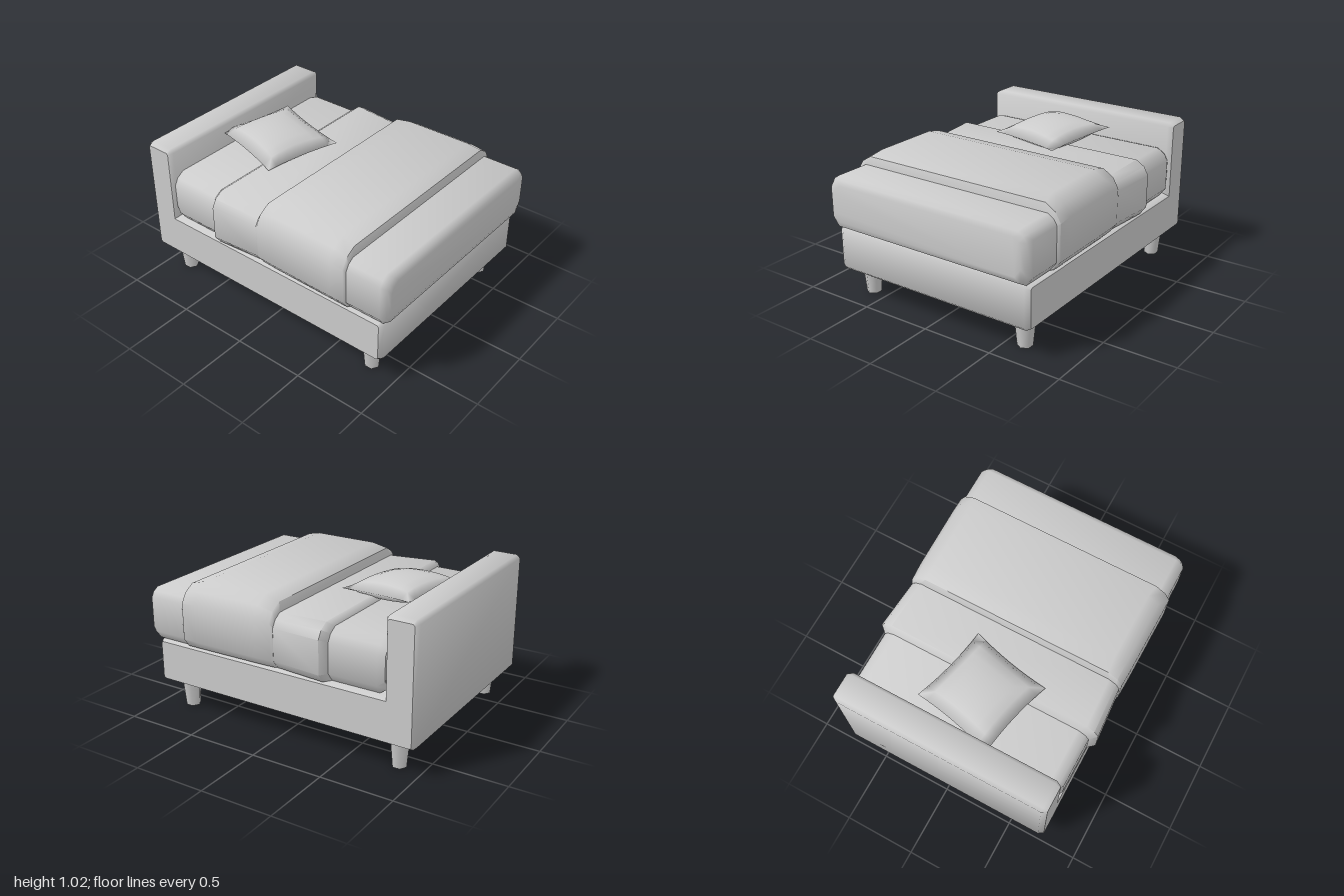
import * as THREE from 'three';
import { mergeGeometries, mergeVertices, toCreasedNormals } from 'three/addons/utils/BufferGeometryUtils.js';

const material = new THREE.MeshStandardMaterial({ color: 0xcccccc });

function add(parent, name, geometry) {
  const mesh = new THREE.Mesh(geometry, material);
  mesh.name = name;
  parent.add(mesh);
  return mesh;
}

// Soft block lofted from front to back.
// Each station: [z, half width, bottom y, top y, shoulder size]
function softBlock(stations) {
  const positions = [], index = [];
  for (const [z, w, y0, y1, r] of stations) {
    const half = [
      [w - 0.045, y0], [w, y0 + 0.06], [w, y1 - r],
      [w - 0.35 * r, y1 - 0.4 * r], [w - r, y1],
    ];
    const ring = [...half, ...half.map(([x, y]) => [-x, y]).reverse()];
    for (const [x, y] of ring) positions.push(x, y, z);
  }
  const n = 10, last = (stations.length - 1) * n;
  for (let i = 0; i < stations.length - 1; i++) {
    for (let j = 0; j < n; j++) {
      const a = i * n + j, b = i * n + (j + 1) % n;
      index.push(a, a + n, b, a + n, b + n, b);
    }
  }
  for (let j = 1; j < n - 1; j++) {
    index.push(0, j, j + 1, last, last + j + 1, last + j);
  }
  const geometry = new THREE.BufferGeometry();
  geometry.setAttribute('position', new THREE.Float32BufferAttribute(positions, 3));
  geometry.setIndex(index);
  return toCreasedNormals(geometry, 0.95);
}

// L-shaped side outline (z, y) extruded across the width with beveled ends
function frameGeometry() {
  const b = 0.02, c = 0.012, bevel = 0.035, halfWidth = 0.755;
  const outline = [
    [0.95 - c - b, 0.19 + b], [0.95 - b, 0.19 + c + b],
    [0.95 - b, 0.5 - c - b], [0.95 - c - b, 0.5 - b],
    [-0.785 - b, 0.5 - b],
    [-0.785 - b, 1.018 - c - b], [-0.785 - c - b, 1.018 - b],
    [-1 + c + b, 1.018 - b], [-1 + b, 1.018 - c - b],
    [-1 + b, 0.19 + c + b], [-1 + c + b, 0.19 + b],
  ];
  const shape = new THREE.Shape(outline.map(([z, y]) => new THREE.Vector2(-z, y)));
  const depth = 2 * (halfWidth - bevel);
  const geometry = new THREE.ExtrudeGeometry(shape, {
    depth, bevelThickness: bevel, bevelSize: b, bevelSegments: 1,
  });
  geometry.translate(0, 0, -depth / 2);
  geometry.rotateY(Math.PI / 2);
  return toCreasedNormals(geometry, 0.95);
}

// Square cushion: two bulging sheets that meet at a slightly pinched seam
function pillowGeometry() {
  const size = 0.285;
  const sheet = (side) => {
    const g = new THREE.PlaneGeometry(2, 2, 8, 8);
    g.rotateX(-side * Math.PI / 2);
    g.deleteAttribute('uv');
    g.deleteAttribute('normal');
    const p = g.attributes.position;
    for (let i = 0; i < p.count; i++) {
      const u = p.getX(i), v = p.getZ(i);
      const puff = Math.pow(Math.max(0, (1 - u * u) * (1 - v * v)), 0.55);
      p.setXYZ(i,
        size * u * (1 - 0.06 * (1 - v * v)),
        side * 0.082 * puff,
        size * v * (1 - 0.06 * (1 - u * u)));
    }
    return g;
  };
  const geometry = mergeVertices(mergeGeometries([sheet(1), sheet(-1)]), 1e-4);
  geometry.computeVertexNormals();
  return geometry;
}

export function createModel() {
  const bed = new THREE.Group();
  bed.name = 'bed';

  add(bed, 'frameAndHeadboard', frameGeometry());

  // Tapered six-sided legs
  const legGeometry = new THREE.CylinderGeometry(0.069, 0.05, 0.2, 6);
  for (const side of [1, -1]) {
    for (const [name, z] of [['frontLeg', 0.795], ['backLeg', -0.835]]) {
      add(bed, name, legGeometry).position.set(side * 0.622, 0.1, z);
    }
  }

  // Mattress with rounded ends
  add(bed, 'mattress', softBlock([
    [1, 0.73, 0.56, 0.81, 0.06],
    [0.985, 0.76, 0.52, 0.845, 0.06],
    [0.95, 0.78, 0.5, 0.862, 0.065],
    [0.6, 0.78, 0.5, 0.862, 0.065],
    [0, 0.757, 0.5, 0.845, 0.08],
    [-0.74, 0.755, 0.5, 0.845, 0.08],
    [-0.785, 0.735, 0.53, 0.83, 0.08],
  ]));

  // Thin blanket flaring towards the head end
  add(bed, 'blanket', softBlock([
    [0.3, 0.77, 0.5, 0.858, 0.08],
    [-0.015, 0.777, 0.5, 0.86, 0.08],
    [-0.365, 0.802, 0.497, 0.876, 0.09],
    [-0.405, 0.757, 0.5, 0.846, 0.08],
  ]));

  // Thick duvet over the middle
  add(bed, 'duvet', softBlock([
    [0.705, 0.781, 0.5, 0.864, 0.067],
    [0.69, 0.797, 0.5, 0.918, 0.11],
    [0.59, 0.796, 0.5, 0.943, 0.125],
    [0.12, 0.79, 0.5, 0.945, 0.125],
    [0.005, 0.785, 0.5, 0.918, 0.11],
    [-0.015, 0.778, 0.5, 0.862, 0.08],
  ]));

  // Pillow lying askew, its head end slightly raised
  const pillow = add(bed, 'pillow', pillowGeometry());
  pillow.position.set(-0.03, 0.915, -0.487);
  pillow.rotation.set(0.08, -0.22, 0, 'YXZ');

  return bed;
}
